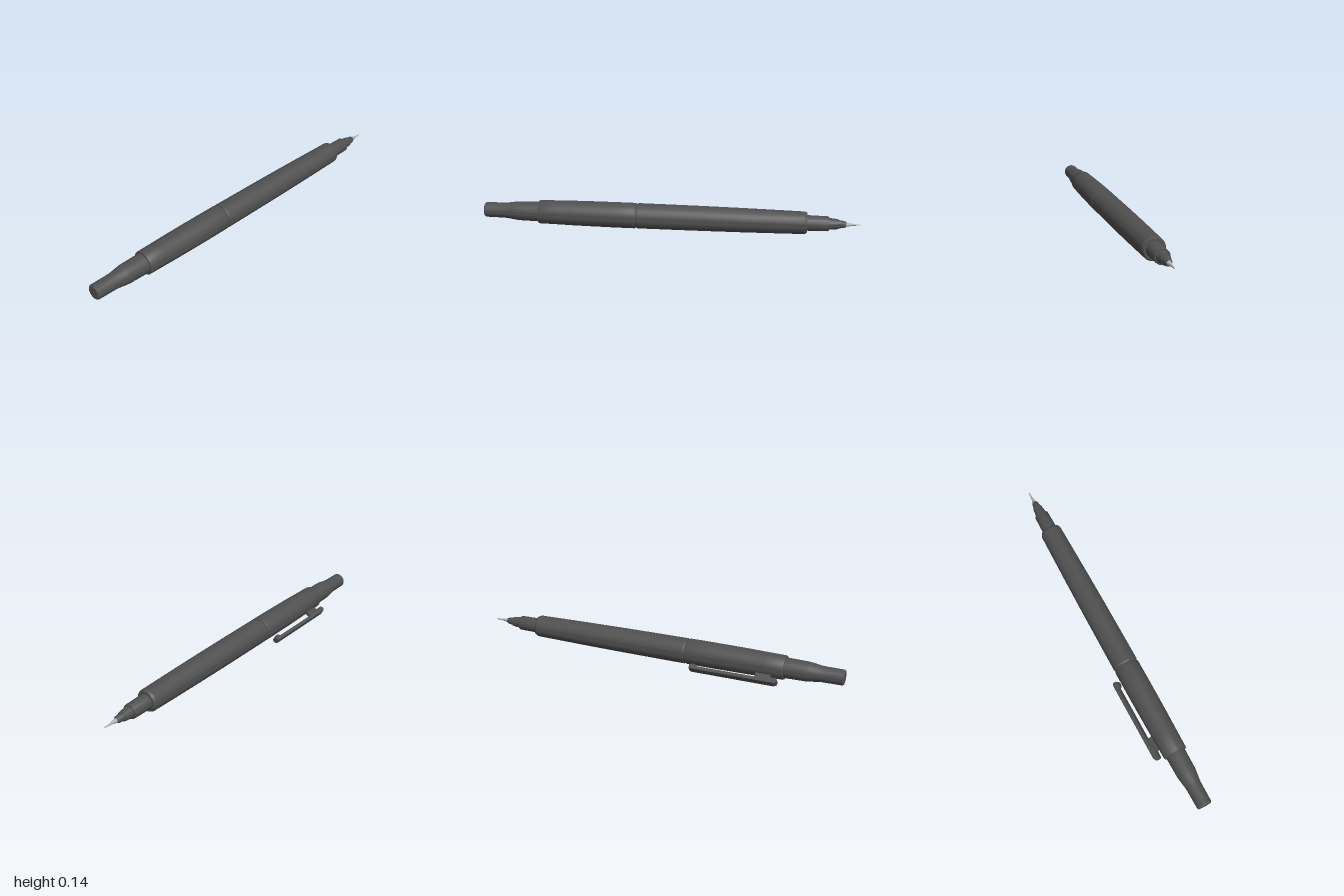
import * as THREE from 'three';
import { toCreasedNormals } from 'three/addons/utils/BufferGeometryUtils.js';

const darkGrey = new THREE.MeshStandardMaterial({ color: 0x505050 });
const steel = new THREE.MeshStandardMaterial({ color: 0xb0b0b0 });
darkGrey.name = 'darkGrey';
steel.name = 'steel';

// Turned part along x; profile is a list of [x, radius].
function turned(name, profile, material = darkGrey, sides = 48) {
  const points = profile.map(([x, r]) => new THREE.Vector2(r, x));
  const geometry = new THREE.LatheGeometry(points, sides).rotateZ(-Math.PI / 2);
  const mesh = new THREE.Mesh(toCreasedNormals(geometry, 0.4), material);
  mesh.name = name;
  return mesh;
}

// Flat outline of [x, radial distance], given a width and centred on z.
function plate(name, outline, width) {
  const shape = new THREE.Shape(outline.map(([x, r]) => new THREE.Vector2(x, r)));
  const geometry = new THREE.ExtrudeGeometry(shape, { depth: width, bevelEnabled: false });
  const mesh = new THREE.Mesh(geometry.translate(0, 0, -width / 2), darkGrey);
  mesh.name = name;
  return mesh;
}

export function createModel() {
  const pen = new THREE.Group();
  pen.name = 'pen';

  pen.add(
    // Push button and its sleeve
    turned('pushButton', [
      [-1, 0], [-1, 0.035], [-0.994, 0.04], [-0.89, 0.041], [-0.87, 0.043],
      [-0.83, 0.049], [-0.815, 0.051], [-0.7, 0.053], [-0.69, 0],
    ]),
    // Rear barrel, swelling towards the joint
    turned('rearBarrel', [
      [-0.7, 0], [-0.7, 0.061], [-0.695, 0.063], [-0.6, 0.0645], [-0.5, 0.0665],
      [-0.4, 0.0675], [-0.3, 0.068], [-0.18, 0.068], [-0.175, 0.066], [-0.175, 0],
    ]),
    turned('jointGroove', [[-0.18, 0], [-0.18, 0.062], [-0.162, 0.062], [-0.162, 0]]),
    // Front barrel, tapering towards the nose
    turned('frontBarrel', [
      [-0.167, 0], [-0.167, 0.065], [-0.162, 0.0675], [0, 0.067], [0.2, 0.066],
      [0.4, 0.064], [0.6, 0.061], [0.715, 0.059], [0.728, 0.053], [0.728, 0],
    ]),
    // Stepped nose
    turned('nose', [
      [0.72, 0], [0.72, 0.041], [0.835, 0.039], [0.84, 0.037], [0.84, 0.031],
      [0.88, 0.027], [0.89, 0.025], [0.89, 0.022], [0.92, 0.018], [0.928, 0.014], [0.928, 0],
    ]),
    // Metal point
    turned('point', [
      [0.92, 0], [0.92, 0.013], [0.935, 0.011], [0.95, 0.007], [0.965, 0.005],
      [0.997, 0.003], [1, 0.002], [1, 0],
    ], steel, 24),
  );

  // Pocket clip: bar with a foot at each end, held by a stem
  const clip = new THREE.Group();
  clip.name = 'clip';
  clip.add(
    plate('clipBar', [
      [-0.68, 0.09], [-0.672, 0.083], [-0.61, 0.083], [-0.59, 0.095], [-0.255, 0.095],
      [-0.24, 0.083], [-0.222, 0.083], [-0.212, 0.092], [-0.212, 0.108], [-0.222, 0.114],
      [-0.665, 0.114], [-0.68, 0.105],
    ], 0.031),
    plate('clipStem', [[-0.64, 0.05], [-0.56, 0.05], [-0.56, 0.1], [-0.64, 0.1]], 0.016),
  );
  clip.rotation.x = -Math.PI * 2 / 3;
  pen.add(clip);

  pen.position.set(0, 0.072, 0.02);
  const model = new THREE.Group();
  model.name = 'mechanicalPencil';
  model.add(pen);
  return model;
}
